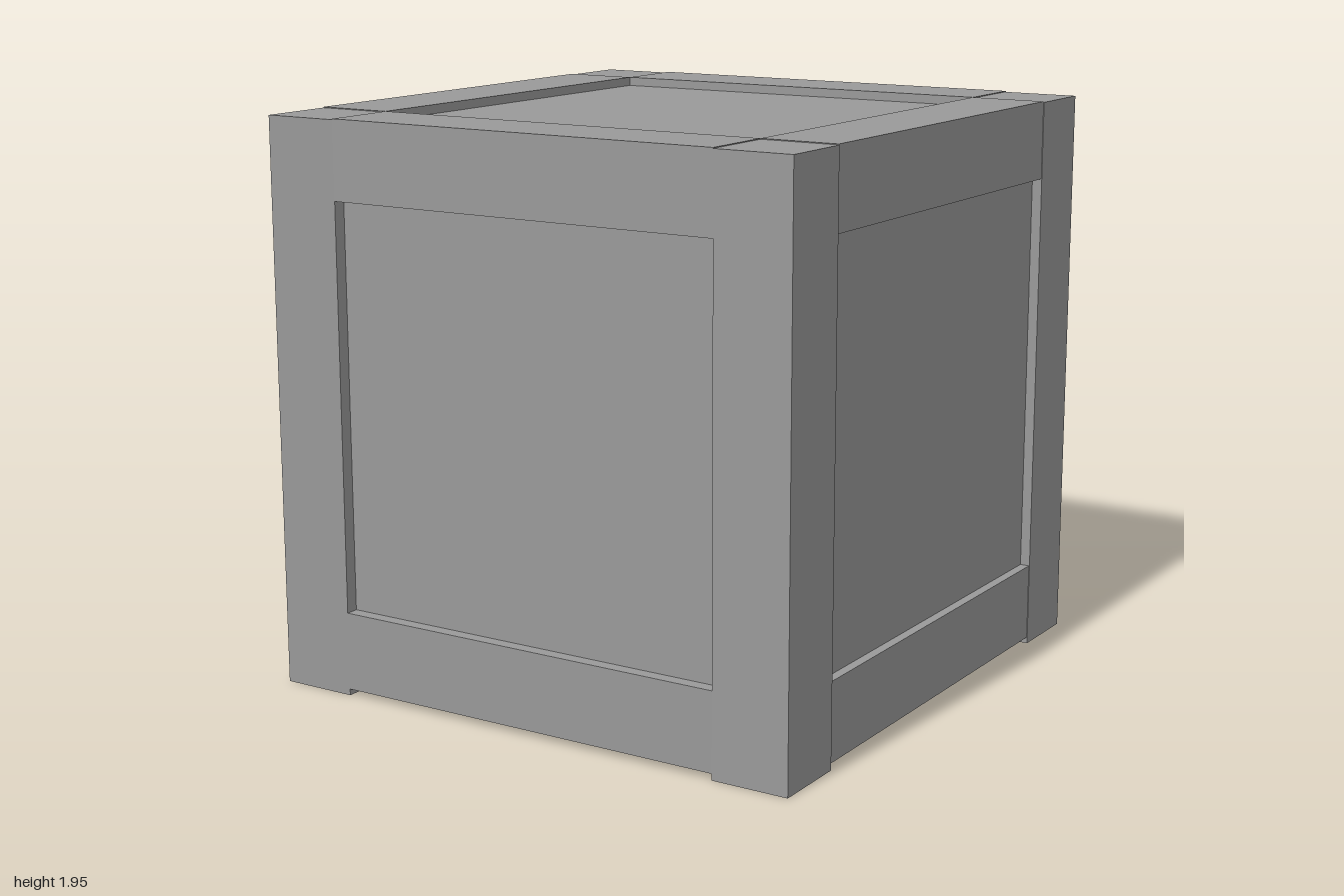
import * as THREE from 'three';

const material = new THREE.MeshStandardMaterial({ color: 0x999999, flatShading: true });

// Box given by its min and max corners
function box(name, [x0, y0, z0], [x1, y1, z1]) {
  const geometry = new THREE.BoxGeometry(x1 - x0, y1 - y0, z1 - z0);
  const mesh = new THREE.Mesh(geometry, material);
  mesh.name = name;
  mesh.position.set((x0 + x1) / 2, (y0 + y1) / 2, (z0 + z1) / 2);
  return mesh;
}

export function createModel() {
  const crate = new THREE.Group();
  crate.name = 'crate';

  const X = 0.99, XI = 0.72;   // outer and inner half widths
  const ZI = 0.73;             // inner half depth
  const railX = 0.988;         // side rails sit just inside the posts
  const backPost = -0.997;     // back posts sit just inside the back rails

  // Recessed panels on all six sides
  crate.add(box('panels', [-0.955, 0.052, -0.955], [0.955, 1.923, 0.955]));

  // Corner posts, whose lower ends form the feet
  for (const side of [-1, 1]) {
    const x0 = side < 0 ? -X : XI;
    const x1 = side < 0 ? -XI : X;
    crate.add(box('frontPost', [x0, 0, ZI], [x1, 1.951, 1]));
    crate.add(box('backPost', [x0, 0, backPost], [x1, 1.951, -ZI]));
  }

  // Lower and upper rails between the posts
  for (const [level, y0, y1] of [['lower', 0.022, 0.291], ['upper', 1.686, 1.954]]) {
    crate.add(box(level + 'FrontRail', [-XI, y0, ZI], [XI, y1, 1]));
    crate.add(box(level + 'BackRail', [-XI, y0, -1], [XI, y1, -ZI]));
    crate.add(box(level + 'LeftRail', [XI, y0, -ZI], [railX, y1, ZI]));
    crate.add(box(level + 'RightRail', [-railX, y0, -ZI], [-XI, y1, ZI]));
  }
  return crate;
}
